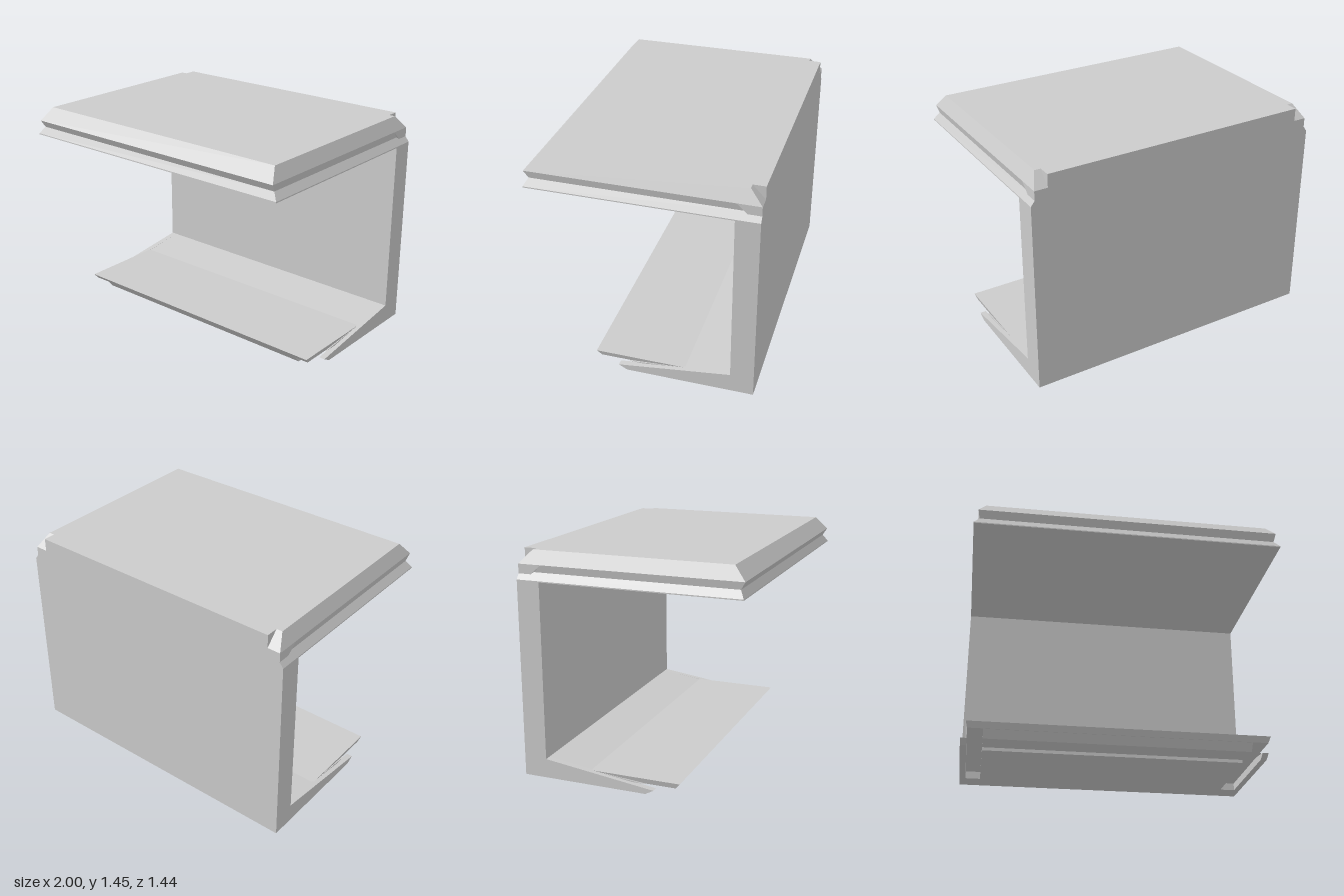
import * as THREE from 'three';

const material = new THREE.MeshStandardMaterial({ color: 0xcccccc, flatShading: true });

export function createModel() {
  const group = new THREE.Group();

  const add = (name, geometry) => {
    const mesh = new THREE.Mesh(geometry, material);
    mesh.name = name;
    group.add(mesh);
    return mesh;
  };

  // Side profile of [z, y] points swept across x from x0 to x1
  const prism = (name, points, x0, x1) => {
    const shape = new THREE.Shape(points.map(([z, y]) => new THREE.Vector2(z, y)));
    const geometry = new THREE.ExtrudeGeometry(shape, { depth: x1 - x0, bevelEnabled: false });
    geometry.rotateY(-Math.PI / 2).translate(x1, 0, 0);
    return add(name, geometry);
  };

  // Stack of rectangles [halfWidth, front z, back z, y], listed upward
  const stack = (name, rings) => {
    const positions = [];
    const index = [];
    for (const [w, front, back, y] of rings) {
      positions.push(-w, y, front, w, y, front, w, y, back, -w, y, back);
    }
    for (let r = 0; r < rings.length - 1; r++) {
      for (let i = 0; i < 4; i++) {
        const a = r * 4 + i, b = r * 4 + (i + 1) % 4;
        index.push(a, b, b + 4, a, b + 4, a + 4);
      }
    }
    const t = (rings.length - 1) * 4;
    index.push(0, 2, 1, 0, 3, 2, t, t + 1, t + 2, t, t + 2, t + 3);
    let geometry = new THREE.BufferGeometry();
    geometry.setAttribute('position', new THREE.Float32BufferAttribute(positions, 3));
    geometry.setIndex(index);
    geometry = geometry.toNonIndexed();
    geometry.computeVertexNormals();
    return add(name, geometry);
  };

  // Upright back panel
  prism('backWall', [[-0.72, 0], [-0.57, 0], [-0.57, 1.27], [-0.72, 1.27]], -1, 1);

  // Top plate with a groove round its edge and a sloped upper rim
  stack('topPlate', [
    [1, 0.72, -0.72, 1.265],
    [1, 0.72, -0.72, 1.272],
    [0.965, 0.692, -0.72, 1.318],
    [0.975, 0.72, -0.72, 1.365],
    [0.93, 0.645, -0.64, 1.45],
  ]);

  // Squared rear edge between the two corner notches
  prism('topRearEdge', [[-0.72, 1.3], [-0.6, 1.3], [-0.6, 1.45], [-0.72, 1.45]], -0.89, 0.89);

  // Sloped web joining the wall to the bottom plate
  prism('baseSlope', [[-0.58, 0.05], [0.1, 0.05], [-0.27, 0.085], [-0.57, 0.125], [-0.58, 0.125]], -0.97, 0.97);

  // Bottom plate with undercut edges
  stack('bottomPlate', [
    [0.96, 0.295, -0.6, 0.05],
    [0.97, 0.325, -0.6, 0.085],
  ]);

  // Raised underside pads, separated by a cross groove
  prism('undersidePad', [[-0.6, 0], [0.03, 0], [0.03, 0.055], [-0.6, 0.055]], -0.86, 0.86);
  prism('undersideFrontPad', [[0.09, 0], [0.25, 0], [0.295, 0.055], [0.09, 0.055]], -0.86, 0.86);

  for (const side of [-1, 1]) {
    const label = side > 0 ? 'left' : 'right';
    const span = (a, b) => (side > 0 ? [a, b] : [-b, -a]);

    // Tapering side rail of the base
    prism(label + 'BaseRail',
      [[-0.6, 0], [0.11, 0], [0.165, 0.03], [-0.57, 0.125], [-0.6, 0.125]], ...span(0.96, 1));

    // Block closing the rear end of the side groove
    prism(label + 'GrooveStop',
      [[-0.72, 1.305], [-0.635, 1.305], [-0.57, 1.365], [-0.72, 1.365]], ...span(0.9, 0.975));
  }

  return group;
}
